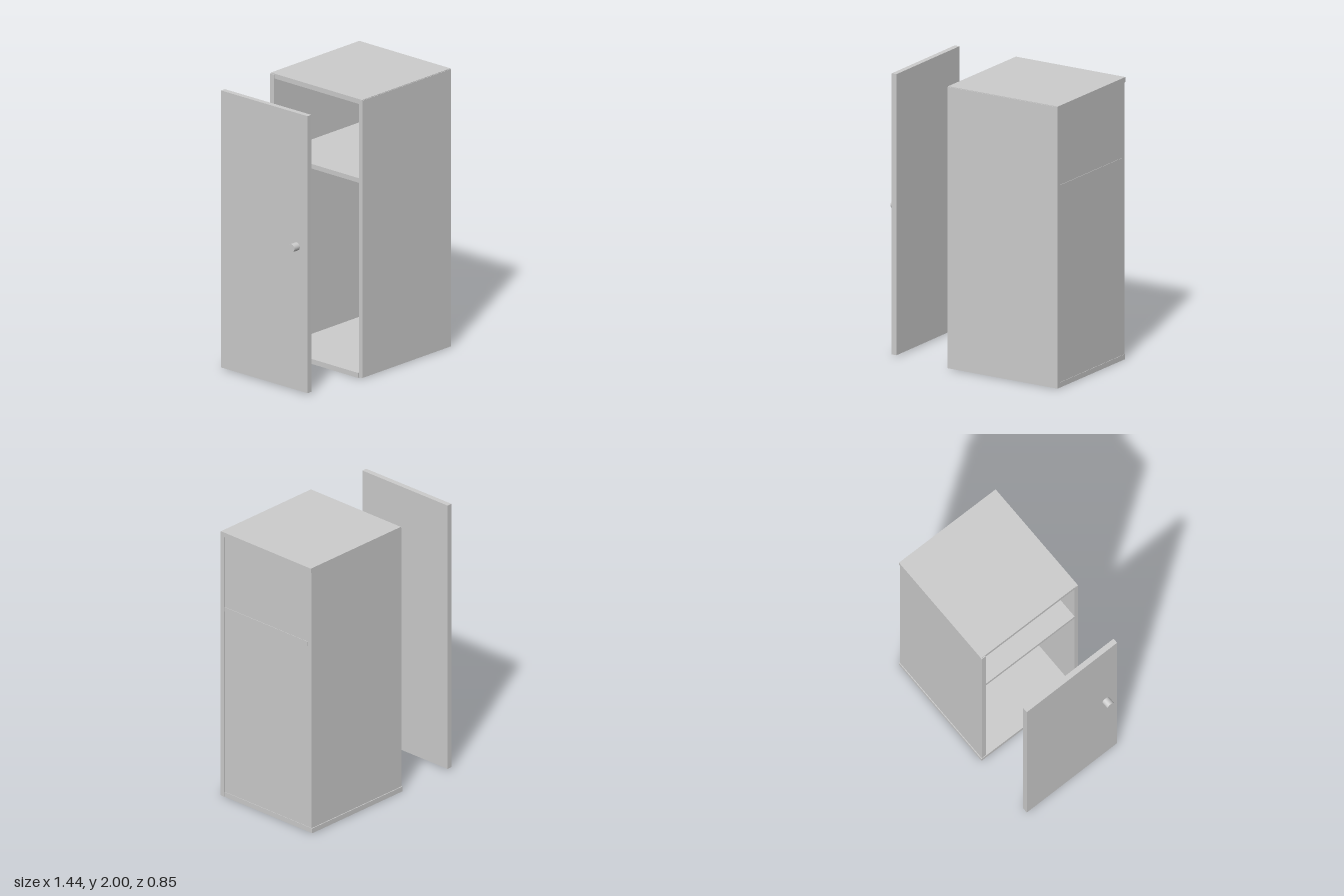
import * as THREE from 'three';

export function createModel() {
  const group = new THREE.Group();
  const material = new THREE.MeshStandardMaterial({ color: 0xcccccc, flatShading: true });

  // Box panel given by its limits on each axis
  const panel = (name, [x0, x1], [y0, y1], [z0, z1], parent) => {
    const mesh = new THREE.Mesh(new THREE.BoxGeometry(x1 - x0, y1 - y0, z1 - z0), material);
    mesh.position.set((x0 + x1) / 2, (y0 + y1) / 2, (z0 + z1) / 2);
    mesh.name = name;
    parent.add(mesh);
    return mesh;
  };

  // Cabinet, open towards -x
  const cabinet = new THREE.Group();
  cabinet.name = 'cabinet';
  group.add(cabinet);
  panel('topPanel', [-0.173, 0.715], [1.965, 2], [-0.42, 0.42], cabinet);
  panel('bottomPanel', [-0.184, 0.708], [0, 0.036], [-0.426, 0.394], cabinet);
  panel('frontSidePanel', [-0.175, 0.715], [0.004, 1.996], [0.393, 0.424], cabinet);
  panel('rearSidePanel', [-0.18, 0.706], [0.036, 1.995], [-0.42, -0.384], cabinet);
  panel('shelf', [-0.176, 0.708], [1.4, 1.433], [-0.384, 0.393], cabinet);

  // Closing panels above and below the shelf
  for (const [name, y] of [['lowerBackPanel', [0.036, 1.4]], ['upperBackPanel', [1.433, 1.965]]]) {
    panel(name, [0.67, 0.705], y, [-0.384, 0.393], cabinet);
  }

  // Detached door, slightly turned, with its knob
  const door = new THREE.Group();
  door.name = 'door';
  door.position.set(-0.648, 0, -0.027);
  door.rotation.y = 0.007;
  group.add(door);
  panel('doorPanel', [-0.019, 0.019], [0.008, 1.998], [-0.396, 0.396], door);

  const knob = new THREE.Mesh(new THREE.CylinderGeometry(0.029, 0.029, 0.056, 24),
    new THREE.MeshStandardMaterial({ color: 0xcccccc }));
  knob.name = 'knob';
  knob.rotation.z = Math.PI / 2;
  knob.position.set(-0.046, 1.04, 0.296);
  door.add(knob);

  return group;
}
